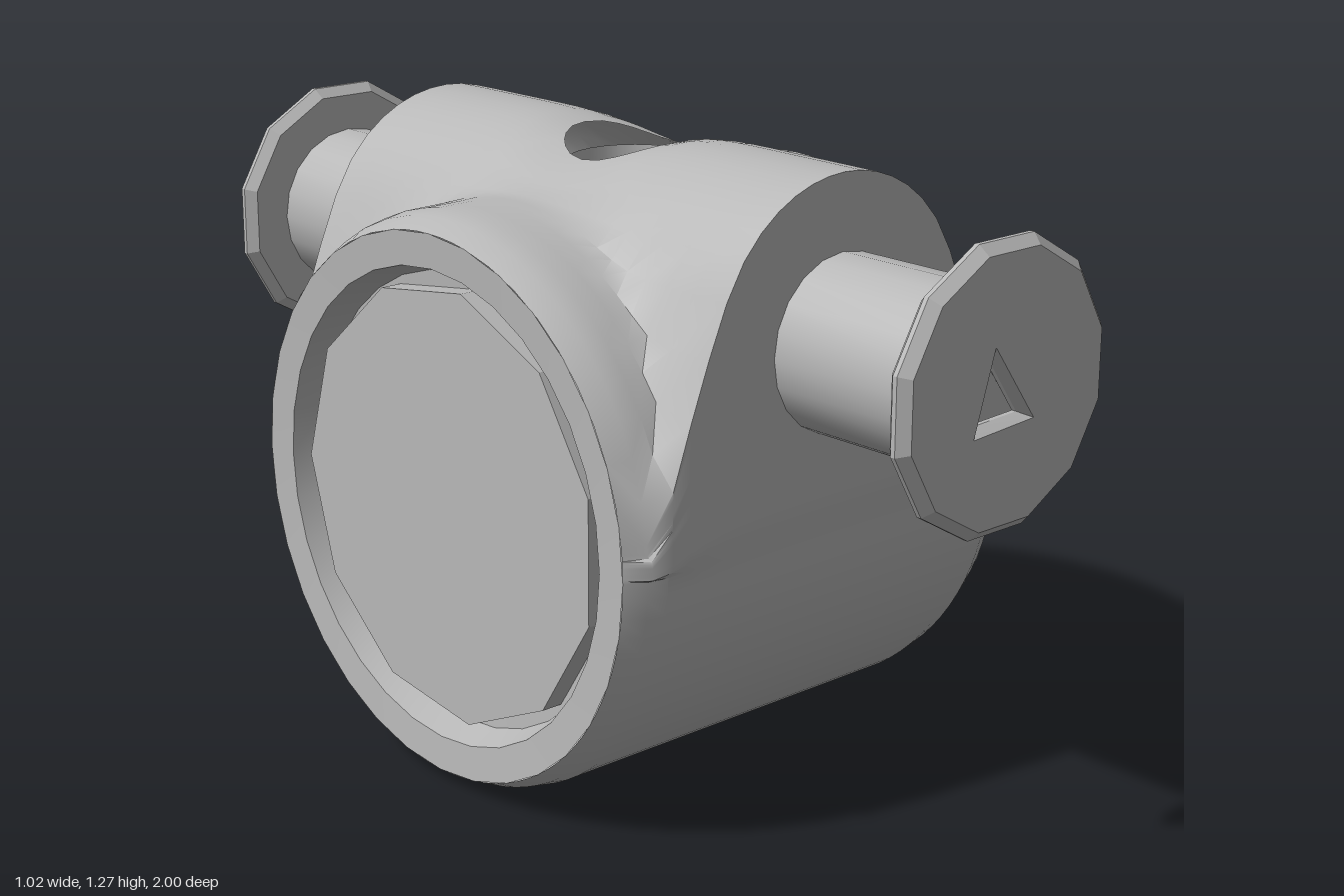
import * as THREE from 'three';
import { toCreasedNormals } from 'three/addons/utils/BufferGeometryUtils.js';

const grey = new THREE.MeshStandardMaterial({ color: 0xb8b8b8, side: THREE.DoubleSide });
grey.name = 'plain grey';

const AXIS = 0.59;    // height of the drum axis
const RADIUS = 0.578; // drum radius
const FRONT = 0.59;   // half depth of the cross hump
const PORT = 0.955;   // height of the side pipes
const HOLE = 0.13;    // half width of the vertical bore
const STEP = Math.PI / 48;

function add(group, name, geometry, crease = 0.5) {
  const mesh = new THREE.Mesh(toCreasedNormals(geometry, crease), grey);
  mesh.name = name;
  group.add(mesh);
  return mesh;
}

// Top of the cross hump at a distance along the drum, with a flared foot
function humpTop(x) {
  const d = Math.abs(x);
  if (d < 0.27) return 0.95 + Math.sqrt(0.33 * 0.33 - d * d);
  return 1.14 - 0.55 * ((d - 0.27) / 0.22) ** 1.2;
}

// Angle of a grid line round the drum; line 12 follows the edge of the hump
function gridAngle(x, j) {
  const q = Math.min(j, 48 - j);
  if (q < 0 || q >= 21) return j * STEP;
  const corner = Math.max(0.12, Math.atan((humpTop(x) - AXIS) / FRONT));
  const a = q < 12 ? corner * q / 12 : corner + (21 * STEP - corner) * (q - 12) / 9;
  return j <= 24 ? a : Math.PI - a;
}

// Outer skin: round drum filleted into the cross hump
function skinPoint(x, angle) {
  const c = Math.cos(angle), s = Math.sin(angle);
  let r = RADIUS;
  if (s > 0.001) {
    const top = (humpTop(x) - AXIS) / s;
    const soft = (RADIUS + top + Math.hypot(RADIUS - top, 0.03)) / 2;
    r = Math.max(r, Math.min(FRONT / Math.max(Math.abs(c), 0.001), soft));
  }
  const end = Math.abs(x);
  if (end > 0.46) r *= 1 - 0.05 * (end - 0.46) / 0.06;
  const z = r * c;
  let y = AXIS + r * s;
  if (s > 0) y -= 0.05 * Math.exp(-((z / 0.13) ** 2)) * Math.max(0, 1 - end / 0.3);
  return [x * 0.98, y, z];
}

// Grid along the drum and round it; cells over the bore are left out and
// the lines around it are bent into a round opening
function bodyGeometry() {
  const nx = 24, na = 96, dx = HOLE / 3, scale = HOLE / (3 * STEP);
  const pos = [], index = [];
  const local = (x, j) => {
    const pole = j < na / 2 ? Math.PI / 2 : Math.PI * 1.5;
    return { pole, v: (gridAngle(x, j) - pole) * scale };
  };
  for (let i = 0; i <= nx; i++) {
    for (let j = 0; j <= na; j++) {
      let u = (i - nx / 2) * dx;
      let { pole, v } = local(u, j);
      const m = Math.max(Math.abs(u), Math.abs(v)), len = Math.hypot(u, v);
      if (m < 2 * HOLE && len > 0) {
        const t = Math.max(0, (m - HOLE) / HOLE);
        const f = (m / len) * (1 - t) + t;
        u *= f;
        v *= f;
      }
      pos.push(...skinPoint(u, pole + v / scale));
    }
  }
  for (let i = 0; i < nx; i++) {
    for (let j = 0; j < na; j++) {
      const u = (i + 0.5 - nx / 2) * dx, v = local(u, j + 0.5).v;
      if (Math.max(Math.abs(u), Math.abs(v)) < HOLE) continue;
      const a = i * (na + 1) + j, b = a + na + 1;
      index.push(a, a + 1, b, b, a + 1, b + 1);
    }
  }
  const g = new THREE.BufferGeometry();
  g.setAttribute('position', new THREE.Float32BufferAttribute(pos, 3));
  g.setIndex(index);
  return g;
}

// Regular polygon plate, optionally pierced
function plate(radius, sides, hole, depth, bevel) {
  const pts = [];
  for (let i = 0; i < sides; i++) {
    const a = ((i + 0.5) / sides) * Math.PI * 2;
    pts.push(new THREE.Vector2(radius * Math.cos(a), radius * Math.sin(a)));
  }
  const shape = new THREE.Shape(pts);
  if (hole) shape.holes.push(new THREE.Path(hole.map(([x, y]) => new THREE.Vector2(x, y))));
  return new THREE.ExtrudeGeometry(shape, {
    depth, bevelEnabled: bevel > 0, bevelThickness: bevel, bevelSize: bevel, bevelSegments: 1,
  });
}

export function createModel() {
  const model = new THREE.Group();
  add(model, 'body', bodyGeometry(), 0.7);

  // Vertical bore
  const bore = new THREE.CylinderGeometry(HOLE, HOLE, 1.19, 24, 1, true);
  bore.scale(0.98, 1, 0.92);
  add(model, 'verticalBore', bore).position.y = 0.62;

  // Recessed ends of the drum
  const rim = [[0.55, 0.51], [0.48, 0.505], [0.46, 0.44], [0.38, 0.435]]
    .map(([r, h]) => new THREE.Vector2(r, h));
  const windowHole = [[-0.19, 0.1], [0.06, 0.15], [-0.09, -0.15]];
  for (const side of [1, -1]) {
    const end = new THREE.Group();
    end.name = side > 0 ? 'leftEnd' : 'rightEnd';
    const ring = new THREE.LatheGeometry(rim, 32);
    ring.rotateZ(-Math.PI / 2);
    add(end, 'endRim', ring);
    const cap = plate(0.445, 11, side > 0 ? windowHole : null, 0.05, 0);
    cap.rotateY(Math.PI / 2);
    add(end, 'endCap', cap).position.x = 0.435;
    end.position.y = AXIS;
    if (side < 0) end.rotation.y = Math.PI;
    model.add(end);
  }

  // Front and back pipes with flanges
  const triangle = [[-0.04, 0.085], [0.07, -0.065], [-0.09, -0.075]];
  const square = [[-0.09, -0.09], [-0.09, 0.09], [0.09, 0.09], [0.09, -0.09]];
  for (const side of [1, -1]) {
    const port = new THREE.Group();
    port.name = side > 0 ? 'frontPort' : 'backPort';
    const pipe = new THREE.CylinderGeometry(0.175, 0.175, 0.42, 20, 1, side < 0);
    pipe.rotateX(Math.PI / 2);
    add(port, 'pipe', pipe).position.z = 0.75;
    const flange = plate(0.26, 12, side > 0 ? triangle : square, 0.01, 0.02);
    add(port, 'flange', flange, 0.3).position.z = 0.97;
    port.position.y = PORT;
    if (side < 0) port.rotation.y = Math.PI;
    model.add(port);
  }
  return model;
}
